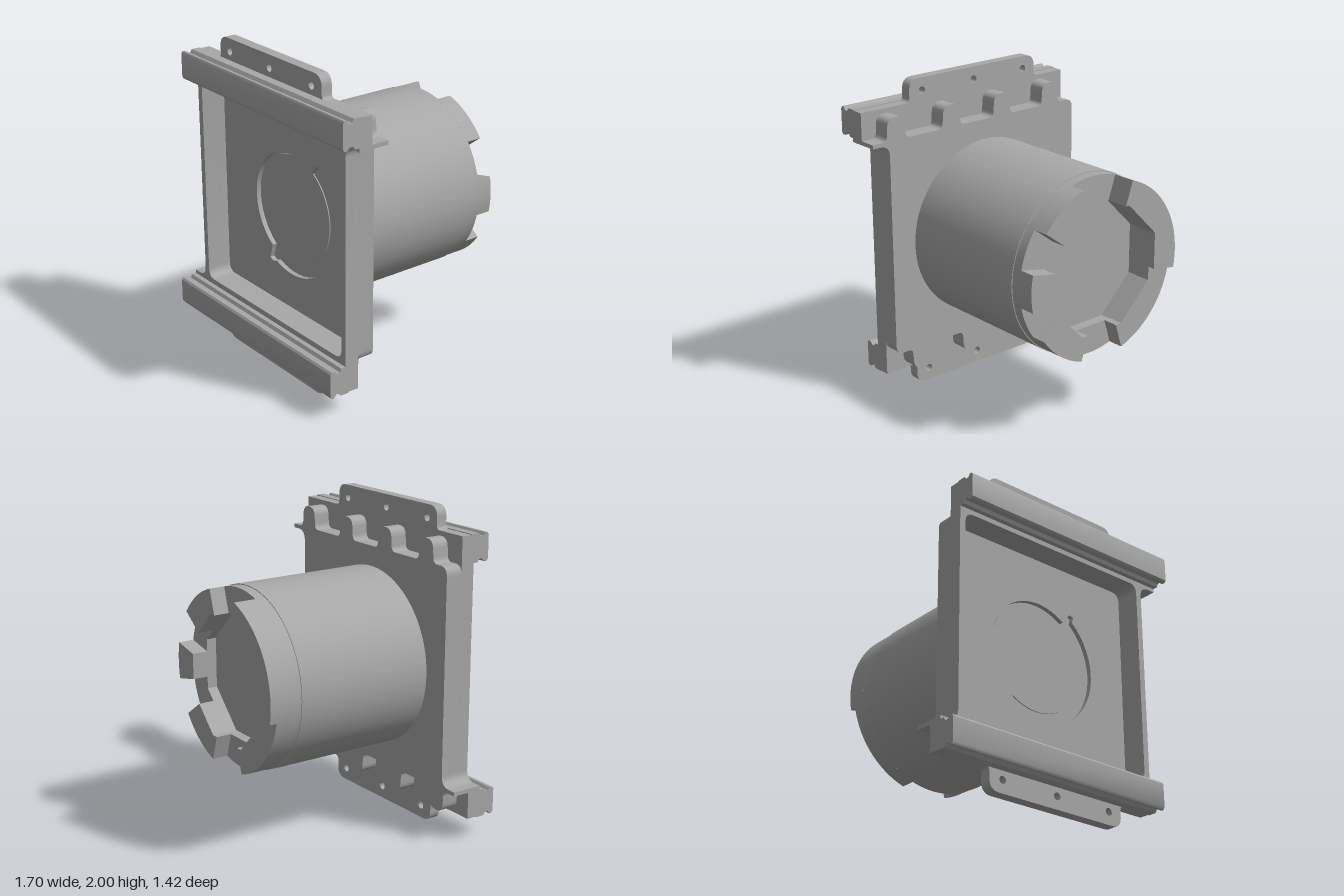
import * as THREE from 'three';
import { toCreasedNormals } from 'three/addons/utils/BufferGeometryUtils.js';

const CY = 1; // height of the barrel axis
const rad = THREE.MathUtils.degToRad;
const grey = new THREE.MeshStandardMaterial({ color: 0xa8a8a8 });
grey.name = 'plain grey';

function mesh(name, geometry) {
  const m = new THREE.Mesh(toCreasedNormals(geometry, 0.6), grey);
  m.name = name;
  return m;
}

// Polygon from [x, y, cornerRadius] points
function rounded(points, Type = THREE.Shape) {
  const s = new Type();
  const n = points.length;
  points.forEach(([x, y, r = 0], i) => {
    const toward = ([px, py]) => {
      const d = Math.hypot(px - x, py - y);
      return [x + (px - x) * r / d, y + (py - y) * r / d];
    };
    const a = toward(points[(i + n - 1) % n]);
    const b = toward(points[(i + 1) % n]);
    if (i === 0) s.moveTo(...a); else s.lineTo(...a);
    if (r > 0) s.quadraticCurveTo(x, y, ...b);
  });
  s.closePath();
  return s;
}

// Slab between two depths
function slab(name, shape, z0, z1, holes = []) {
  shape.holes.push(...holes);
  const g = new THREE.ExtrudeGeometry(shape, { depth: z1 - z0, bevelEnabled: false, curveSegments: 12 });
  return mesh(name, g.translate(0, 0, z0));
}

// Plate outline: the upper half is repeated turned by 180 degrees
function plateOutline(scalloped) {
  const half = [[0.73, 1.665, 0.07], [0.85, 1.665], [0.85, 1.69]];
  if (scalloped) {
    for (const x of [0.68, 0.265, -0.135, -0.535]) {
      half.push([x + 0.07, 1.69, 0.035], [x + 0.06, 1.83, 0.055],
        [x - 0.06, 1.83, 0.055], [x - 0.07, 1.69, 0.035]);
    }
  }
  half.push([-0.73, 1.69, scalloped ? 0.06 : 0]);
  return rounded([...half, ...half.map(([x, y, r]) => [-x, 2 - y, r])]);
}

const pocket = () => rounded([[-0.69, 0.345, 0.06], [0.69, 0.345, 0.06],
  [0.69, 1.66, 0.06], [-0.69, 1.66, 0.06]], THREE.Path);

// Round recess, wider on one side, with a small spur at each end
function twistLockHole() {
  const p = new THREE.Path();
  p.absarc(0, CY, 0.36, rad(56), rad(236));
  p.lineTo(-0.23, 0.61);
  p.lineTo(-0.2, 0.595);
  p.absarc(0, CY, 0.425, rad(248), rad(409));
  p.lineTo(0.29, 1.36);
  p.lineTo(0.26, 1.368);
  p.closePath();
  return p;
}

function circle(x, y, r) {
  const p = new THREE.Path();
  p.absarc(x, y, r, 0, Math.PI * 2);
  return p;
}

// Radius of the octagonal socket at an angle in degrees
const socketRadius = (a) => 0.38 / Math.cos(rad(a - Math.round(a / 45) * 45));
const polar = (a, r) => new THREE.Vector2(Math.cos(rad(a)) * r, CY + Math.sin(rad(a)) * r);

// Crown tooth between two angles
function tooth(from, to, z) {
  const outer = [], inner = [];
  const n = Math.ceil((to - from) / 3);
  for (let i = 0; i <= n; i++) {
    const a = from + (to - from) * i / n;
    outer.push(polar(a, 0.558));
    inner.unshift(polar(a, socketRadius(a)));
  }
  return slab('crownTooth', new THREE.Shape([...outer, ...inner]), z, -0.565);
}

// Grooved rail with the drilled tab behind it
function mount() {
  const g = new THREE.Group();
  g.name = 'railMount';
  const profile = new THREE.Shape([
    [0.58, 1.69], [0.63, 1.69], [0.642, 1.71], [0.665, 1.71], [0.68, 1.692], [0.7, 1.692], [0.71, 1.705],
    [0.71, 1.85], [0.7, 1.865], [0.685, 1.865], [0.67, 1.845], [0.65, 1.845], [0.635, 1.865], [0.58, 1.865],
  ].map(([z, y]) => new THREE.Vector2(z, y)));
  const rail = new THREE.ExtrudeGeometry(profile, { depth: 1.58, bevelEnabled: false });
  rail.rotateY(-Math.PI / 2).translate(0.85, 0, 0);
  g.add(mesh('rail', rail));
  const tab = rounded([[-0.73, 1.69], [0.85, 1.69], [0.85, 1.86], [0.495, 1.86, 0.03],
    [0.495, 2, 0.07], [-0.495, 2, 0.07], [-0.495, 1.86, 0.03], [-0.73, 1.86]]);
  g.add(slab('drilledTab', tab, 0.51, 0.58, [-0.4, 0, 0.4].map((x) => circle(x, 1.92, 0.024))));
  return g;
}

export function createModel() {
  const model = new THREE.Group();
  model.name = 'flangedHousing';

  // Square plate with a deep pocket and a round recess in its floor
  model.add(slab('recessFloor', plateOutline(true), 0.4, 0.41));
  model.add(slab('pocketFloor', plateOutline(true), 0.41, 0.44, [twistLockHole()]));
  model.add(slab('scallopedFrame', plateOutline(true), 0.44, 0.51, [pocket()]));
  model.add(slab('frontFrame', plateOutline(false), 0.51, 0.6, [pocket()]));
  const disc = new THREE.CylinderGeometry(0.345, 0.345, 0.01, 64);
  model.add(mesh('recessDisc', disc.rotateX(Math.PI / 2).translate(0, CY, 0.412)));

  // Rails and tabs, the lower pair turned by 180 degrees
  const lower = mount();
  lower.rotation.z = Math.PI;
  lower.position.y = 2;
  model.add(mount(), lower);

  // Barrel
  const barrel = new THREE.CylinderGeometry(0.563, 0.563, 0.9, 72);
  model.add(mesh('barrel', barrel.rotateX(Math.PI / 2).translate(0, CY, -0.05)));

  // Collar with octagonal socket
  const collar = new THREE.Shape();
  collar.absarc(0, CY, 0.558, 0, Math.PI * 2);
  const octagon = new THREE.Path();
  octagon.setFromPoints(Array.from({ length: 8 }, (_, i) => polar(22.5 + i * 45, socketRadius(22.5))));
  collar.holes.push(octagon);
  const ring = new THREE.ExtrudeGeometry(collar, { depth: 0.065, bevelEnabled: false, curveSegments: 36 });
  model.add(mesh('socketCollar', ring.translate(0, 0, -0.565)));

  // Crown teeth, one of them taller
  for (const [from, to, z] of [[37, 73, -0.665], [-12, 12, -0.665], [-73, -35, -0.665],
    [191, 253, -0.665], [109, 191, -0.71]]) {
    model.add(tooth(from, to, z));
  }
  return model;
}
